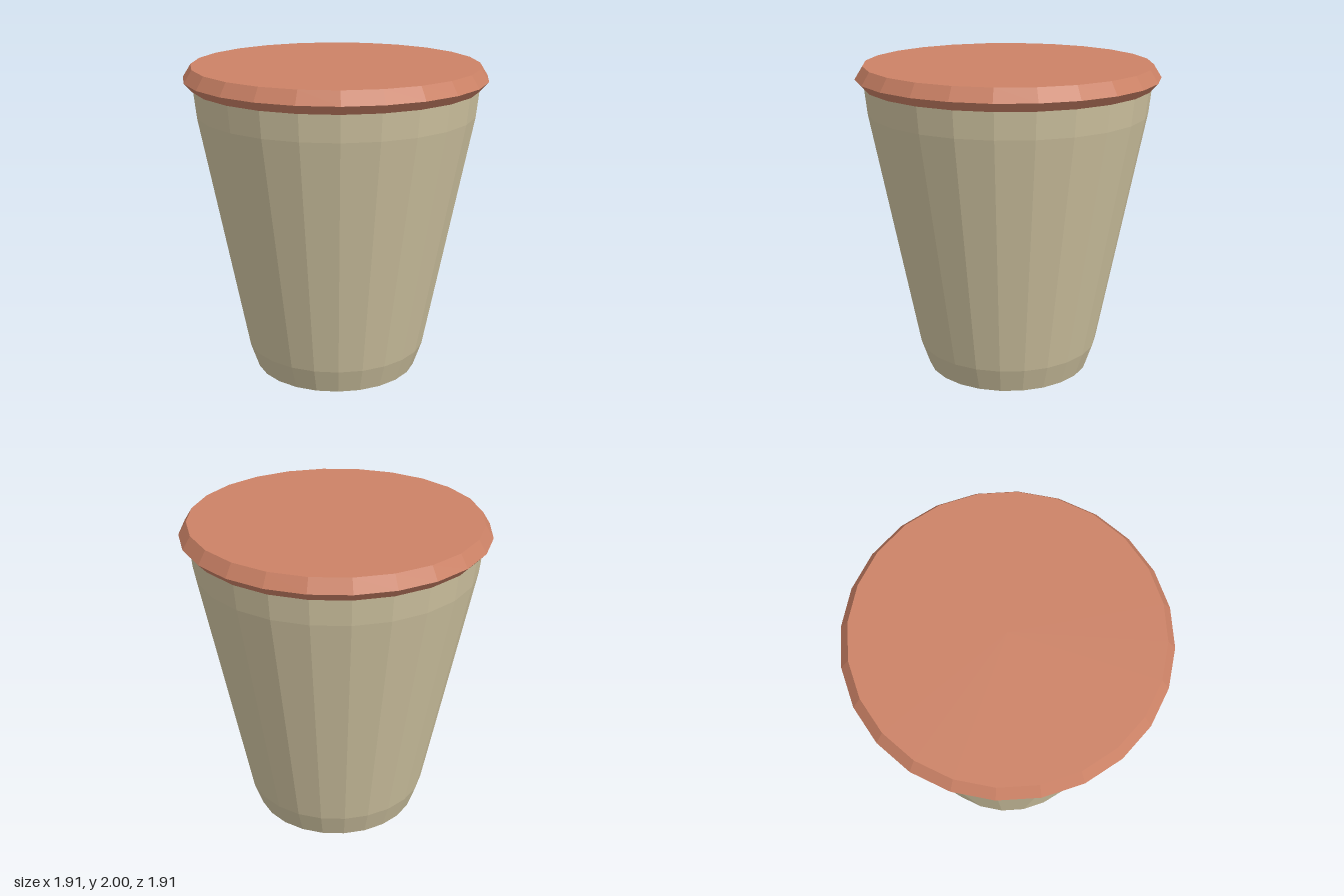
import * as THREE from 'three';

const SIDES = 24;

// Faceted solid of revolution from a bottom-to-top [radius, height] profile
function turned(name, profile, color) {
  const points = profile.map(([r, y]) => new THREE.Vector2(r, y));
  const mesh = new THREE.Mesh(
    new THREE.LatheGeometry(points, SIDES),
    new THREE.MeshStandardMaterial({ color, flatShading: true })
  );
  mesh.name = name;
  return mesh;
}

export function createModel() {
  const model = new THREE.Group();
  model.name = 'liddedCup';

  // Tapered cup with a chamfered foot and a steeper collar under the lid
  model.add(turned('cupBody', [
    [0, 0], [0.53, 0], [0.585, 0.16], [0.882, 1.7], [0.9, 1.87],
  ], 0xcfc3a0));

  // Flat lid with a bevelled rim
  model.add(turned('lid', [
    [0, 1.865], [0.905, 1.865], [0.955, 1.92], [0.905, 2], [0, 2],
  ], 0xcc8266));

  return model;
}
